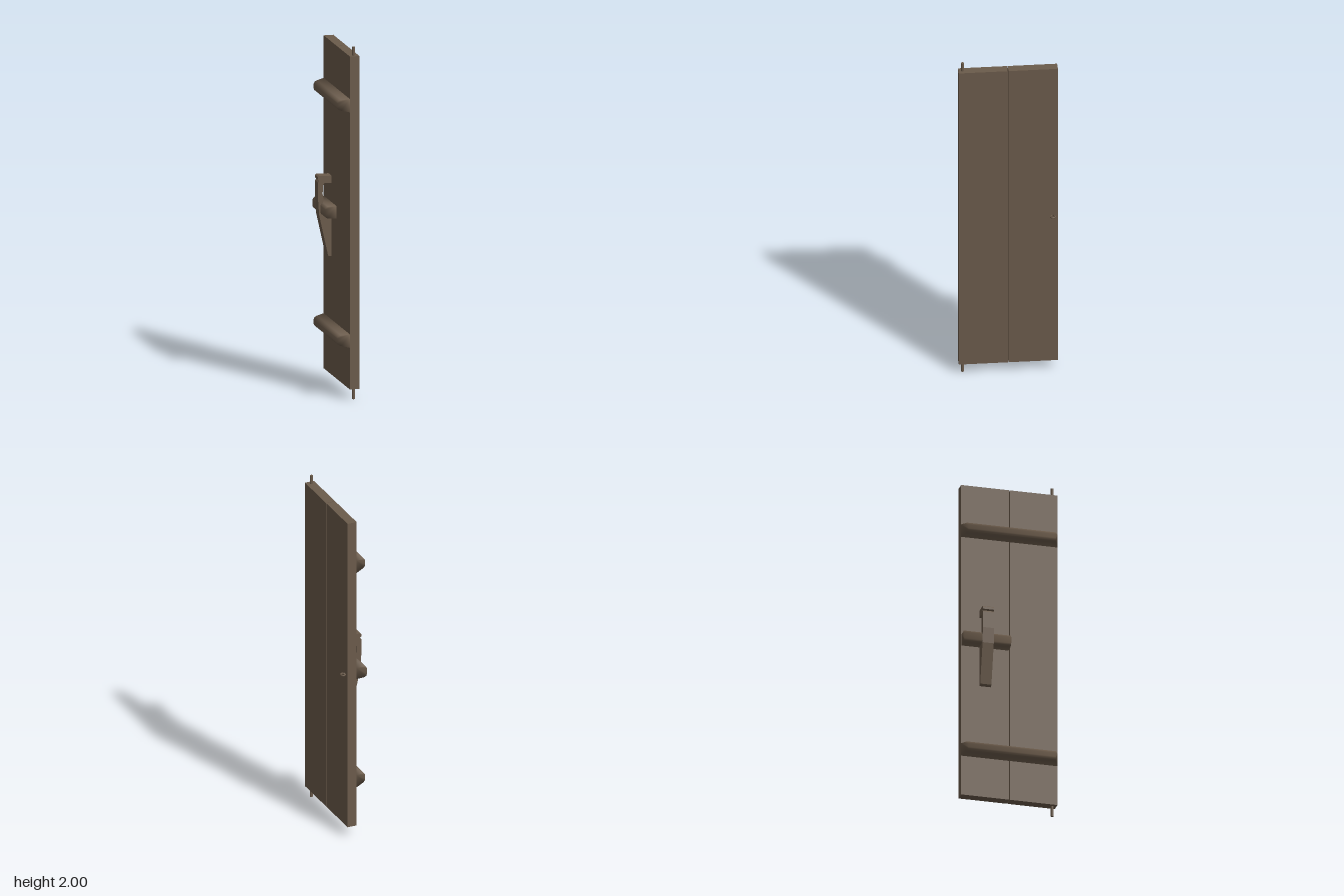
import * as THREE from 'three';

const wood = new THREE.MeshStandardMaterial({ color: 0x6b5b4b });
wood.name = 'brownWood';

// Crosspiece running along z: [x, y] section, ends leaning in by `lean` at the outer face
function crosspiece(section, zMin, zMax, lean) {
  const n = section.length, pos = [], idx = [];
  for (const end of [-1, 1]) {
    for (const [x, y] of section) {
      const inset = lean * (-0.005 - x) / 0.065;
      pos.push(x, y, end < 0 ? zMin + inset : zMax - inset);
    }
  }
  for (let i = 0; i < n; i++) {
    const j = (i + 1) % n;
    idx.push(i, j, n + i, n + i, j, n + j);
    if (i > 0 && i < n - 1) idx.push(n, n + i, n + i + 1, 0, i + 1, i);
  }
  const geo = new THREE.BufferGeometry();
  geo.setAttribute('position', new THREE.Float32BufferAttribute(pos, 3));
  geo.setIndex(idx);
  geo.computeVertexNormals();
  // Soften the ends so shading rolls over them
  const normal = geo.attributes.normal, v = new THREE.Vector3();
  for (let i = 0; i < normal.count; i++) {
    v.fromBufferAttribute(normal, i);
    v.z = i < n ? -0.7 : 0.7;
    v.normalize();
    normal.setXYZ(i, v.x, v.y, v.z);
  }
  return geo;
}

export function createModel() {
  const group = new THREE.Group();
  const add = (name, geo, x = 0, y = 0, z = 0) => {
    const mesh = new THREE.Mesh(geo, wood);
    mesh.name = name;
    mesh.position.set(x, y, z);
    group.add(mesh);
    return mesh;
  };

  // Two upright planks with a narrow gap
  add('rearPlank', new THREE.BoxGeometry(0.055, 1.89, 0.275), 0.0225, 1.005, -0.1385);
  add('frontPlank', new THREE.BoxGeometry(0.055, 1.89, 0.272), 0.0225, 1.005, 0.139);

  // Hinge pins above and below
  for (const [name, y] of [['lowerHingePin', 0.04], ['upperHingePin', 1.96]]) {
    add(name, new THREE.CylinderGeometry(0.0085, 0.0085, 0.08, 16), 0.022, y, 0.252);
  }

  // Rounded battens across the planks
  const half = [[-0.005, 0.038], [-0.05, 0.03], [-0.061, 0.026], [-0.068, 0.019], [-0.07, 0.011]];
  const mirrored = (pts) => [...pts, ...pts.map(([x, y]) => [x, -y]).reverse()];
  const batten = crosspiece(mirrored(half), -0.276, 0.275, 0.027);
  add('lowerBatten', batten, 0, 0.335, 0);
  add('upperBatten', batten, 0, 1.671, 0);

  // Sliding bolt bar
  const barHalf = [[-0.005, 0.035], [-0.055, 0.034], [-0.065, 0.028], [-0.07, 0.018]];
  add('latchBar', crosspiece(mirrored(barHalf), -0.273, -0.006, 0), 0, 1.005, 0);

  // Bracket holding the bar: hooked head, stem and tapered foot
  const profile = [
    [-0.005, 1.15], [-0.005, 1.19], [-0.075, 1.192], [-0.083, 1.186], [-0.083, 1.172],
    [-0.076, 1.165], [-0.083, 1.155], [-0.083, 1.06], [-0.077, 0.97], [-0.026, 0.74],
    [-0.02, 0.734], [-0.005, 0.734], [-0.005, 1.0], [-0.055, 1.03], [-0.052, 1.06],
    [-0.057, 1.09], [-0.053, 1.145], [-0.045, 1.15],
  ];
  const shape = new THREE.Shape(profile.map(([x, y]) => new THREE.Vector2(x, y)));
  const bracket = new THREE.ExtrudeGeometry(shape, { depth: 0.064, bevelEnabled: false });
  add('latchBracket', bracket, 0, 0, -0.172);

  // Bent wire eye
  const path = [[0.045, -0.254], [0.052, -0.252], [0.065, -0.26]];
  for (let i = 1; i < 6; i++) {
    const a = -Math.PI / 2 + (i / 6) * Math.PI;
    path.push([0.065 + 0.013 * Math.cos(a), -0.246 + 0.013 * Math.sin(a)]);
  }
  path.push([0.065, -0.232], [0.052, -0.24], [0.045, -0.238]);
  const curve = new THREE.CatmullRomCurve3(path.map(([x, z]) => new THREE.Vector3(x, 0, z)));
  const eye = add('wireEye', new THREE.TubeGeometry(curve, 40, 0.0035, 8), 0, 1.001, 0);
  eye.scale.y = 1.6;

  return group;
}
